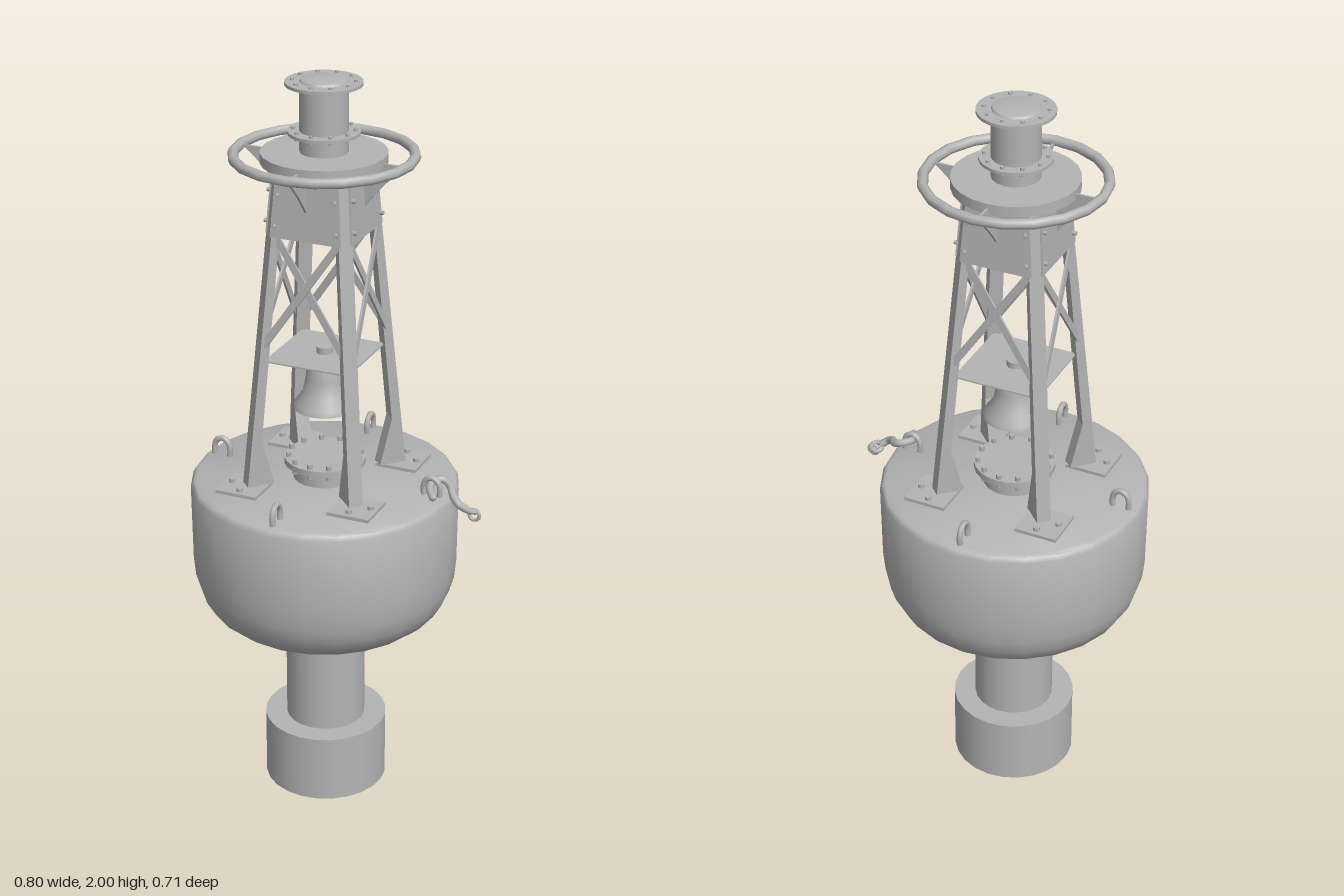
import * as THREE from 'three';
import { toCreasedNormals } from 'three/addons/utils/BufferGeometryUtils.js';

const paint = new THREE.MeshStandardMaterial({ color: 0xb4b4b4, side: THREE.DoubleSide });
paint.name = 'grey paint';

const V = (x, y, z) => new THREE.Vector3(x, y, z);

export function createModel() {
  const model = new THREE.Group();
  model.name = 'buoy';
  const body = new THREE.Group();
  body.name = 'buoyBody';
  body.position.x = -0.043; // the hook sticks out on the left, so the axis is off centre
  model.add(body);

  const add = (name, geo, parent = body) => {
    const mesh = new THREE.Mesh(geo, paint);
    mesh.name = name;
    parent.add(mesh);
    return mesh;
  };
  const lathe = (name, pts, seg = 24) =>
    add(name, toCreasedNormals(new THREE.LatheGeometry(pts.map(p => new THREE.Vector2(...p)), seg), 0.6));
  const disc = (name, r, y0, y1, seg = 24) => {
    const mesh = add(name, new THREE.CylinderGeometry(r, r, y1 - y0, seg));
    mesh.position.y = (y0 + y1) / 2;
    return mesh;
  };
  // Circle of upright bolts
  const bolts = (name, n, r, y0, y1, size) => {
    for (let i = 0; i < n; i++) {
      const a = (i / n) * Math.PI * 2;
      const b = disc(name, size, y0, y1, 6);
      b.position.x = r * Math.sin(a);
      b.position.z = r * Math.cos(a);
    }
  };
  // Prism between a lower and an upper horizontal outline (lists of [x, z])
  const loft = (name, low, y0, high, y1, parent) => {
    const n = low.length, pos = [], idx = [];
    low.forEach(p => pos.push(p[0], y0, p[1]));
    high.forEach(p => pos.push(p[0], y1, p[1]));
    for (let i = 0; i < n; i++) {
      const j = (i + 1) % n;
      idx.push(i, j, n + j, i, n + j, n + i);
    }
    for (let i = 1; i < n - 1; i++) idx.push(0, i + 1, i, n, n + i, n + i + 1);
    const g = new THREE.BufferGeometry();
    g.setAttribute('position', new THREE.Float32BufferAttribute(pos, 3));
    g.setIndex(idx);
    return add(name, toCreasedNormals(g, 0.3), parent);
  };

  // Counterweight, tail tube and hull
  disc('counterweight', 0.167, 0, 0.19);
  disc('tailTube', 0.108, 0.19, 0.53);
  disc('tailFlange', 0.165, 0.511, 0.525);
  bolts('tailFlangeBolt', 10, 0.14, 0.502, 0.515, 0.009);
  lathe('hull', [[0, 0.52], [0.25, 0.52], [0.285, 0.53], [0.315, 0.555], [0.338, 0.595],
    [0.35, 0.635], [0.355, 0.69], [0.357, 0.9], [0.35, 0.912], [0.34, 0.917], [0, 0.917]]);

  // Deck hatch
  disc('hatchNeck', 0.085, 0.915, 0.965);
  disc('hatchCover', 0.108, 0.958, 0.975);
  bolts('hatchBolt', 12, 0.097, 0.947, 0.988, 0.007);

  // Bell under its square plate
  lathe('bell', [[0, 1.262], [0.035, 1.26], [0.046, 1.245], [0.05, 1.2], [0.058, 1.16],
    [0.08, 1.13], [0.083, 1.117], [0.073, 1.117], [0.048, 1.16], [0.04, 1.235], [0, 1.24]], 20);
  disc('bellHanger', 0.022, 1.255, 1.287, 12);
  disc('clapperRod', 0.007, 1.1, 1.245, 8);
  add('clapper', new THREE.SphereGeometry(0.017, 12, 8)).position.y = 1.108;
  const plate = add('bellPlate', new THREE.BoxGeometry(0.236, 0.004, 0.236));
  plate.position.y = 1.268;

  // Tower: outer offset of the frame at a given height
  const out = y => 0.171 - (y - 0.93) * 0.0765;
  for (let k = 0; k < 4; k++) {
    const side = new THREE.Group();
    side.name = 'towerSide';
    side.rotation.y = k * Math.PI / 2;
    body.add(side);

    // Corner leg with a broad outer face turned to the diagonal
    const section = (y, deep) => {
      const d = out(y), c = 0.027;
      return [[d - c, d], [d, d - c], [d - deep, d - c - deep], [d - c - deep, d - deep]];
    };
    loft('leg', section(0.925, 0.02), 0.925, section(1.79, 0.014), 1.79, side);
    loft('legFoot', section(0.925, 0.052), 0.925, section(1.06, 0.018), 1.06, side);
    const foot = add('footPlate', new THREE.BoxGeometry(0.115, 0.01, 0.115), side);
    foot.position.set(0.159, 0.921, 0.159);
    for (const [x, z] of [[0.155, 0.198], [0.198, 0.155]]) {
      const b = add('footBolt', new THREE.CylinderGeometry(0.009, 0.009, 0.014, 8), side);
      b.position.set(x, 0.929, z);
    }

    // Upper side panel with corner bolts
    const strip = (y, w) => {
      const d = out(y);
      return [[-w, d], [w, d], [w, d - 0.006], [-w, d - 0.006]];
    };
    loft('sidePanel', strip(1.61, out(1.61) - 0.022), 1.61, strip(1.79, out(1.79) - 0.022), 1.79, side);
    for (const s of [-1, 1]) for (const y of [1.64, 1.72]) {
      const b = add('panelBolt', new THREE.CylinderGeometry(0.006, 0.006, 0.014, 6), side);
      b.rotation.x = Math.PI / 2;
      b.position.set(s * (out(y) - 0.033), y, out(y) + 0.003);
    }

    // Crossed braces
    for (const s of [-1, 1]) {
      const a = V(s * 0.112, 1.318, out(1.318) - 0.012 - s * 0.003);
      const b = V(-s * 0.09, 1.615, out(1.615) - 0.01 - s * 0.003);
      const bar = add('crossBrace', new THREE.BoxGeometry(0.019, a.distanceTo(b), 0.006), side);
      bar.position.copy(a).lerp(b, 0.5);
      bar.quaternion.setFromUnitVectors(V(0, 1, 0), b.clone().sub(a).normalize());
    }

    // Curved bracket carrying the guard ring
    const shape = new THREE.Shape();
    shape.moveTo(0.095, 1.8);
    shape.lineTo(0.225, 1.8);
    shape.quadraticCurveTo(0.165, 1.755, 0.109, 1.68);
    const bracket = add('ringBracket',
      new THREE.ExtrudeGeometry(shape, { depth: 0.006, bevelEnabled: false, curveSegments: 6 })
        .translate(0, 0, -0.003), side);
    bracket.rotation.y = 0;

    // Lifting lug on the deck
    const lug = new THREE.CatmullRomCurve3([V(0.282, 0.912, 0), V(0.282, 0.945, 0),
      V(0.29, 0.96, 0), V(0.304, 0.966, 0), V(0.318, 0.96, 0), V(0.326, 0.945, 0), V(0.326, 0.912, 0)]);
    add('liftingLug', new THREE.TubeGeometry(lug, 16, 0.008, 8), side);
  }

  // Guard ring and top platform
  const ring = add('guardRing', new THREE.TorusGeometry(0.229, 0.0135, 8, 20));
  ring.rotation.x = Math.PI / 2;
  ring.position.y = 1.803;
  disc('topPlatform', 0.161, 1.785, 1.812);

  // Lantern
  disc('lanternNeck', 0.062, 1.81, 1.862, 16);
  disc('lanternLowerFlange', 0.092, 1.858, 1.866);
  bolts('lowerFlangeBolt', 10, 0.078, 1.85, 1.873, 0.005);
  disc('lanternTube', 0.062, 1.862, 1.99);
  disc('lanternUpperFlange', 0.098, 1.983, 1.991);
  bolts('upperFlangeBolt', 10, 0.079, 1.977, 1.996, 0.005);
  lathe('lanternCap', [[0.062, 1.99], [0.058, 1.996], [0.045, 1.999], [0, 2]], 16);

  // Mooring hook hanging from the left lug
  const hook = new THREE.Group();
  hook.name = 'mooringHook';
  body.add(hook);
  const bend = new THREE.CatmullRomCurve3([V(0.325, 0.935, 0.045), V(0.307, 0.945, 0.02),
    V(0.303, 0.952, -0.01), V(0.322, 0.952, -0.032), V(0.345, 0.942, -0.026),
    V(0.365, 0.928, 0.002), V(0.386, 0.913, 0.015), V(0.404, 0.9, 0.008)]);
  add('hookBend', new THREE.TubeGeometry(bend, 28, 0.0105, 8), hook);
  add('hookTip', new THREE.SphereGeometry(0.0105, 8, 6), hook).position.set(0.325, 0.935, 0.045);
  const eye = add('hookEye', new THREE.TorusGeometry(0.015, 0.007, 8, 14), hook);
  eye.position.set(0.415, 0.893, 0);
  eye.rotation.x = Math.PI / 2.6;
  const link = add('hookLink', new THREE.TorusGeometry(0.014, 0.005, 8, 14), hook);
  link.position.set(0.424, 0.883, 0);

  return model;
}
